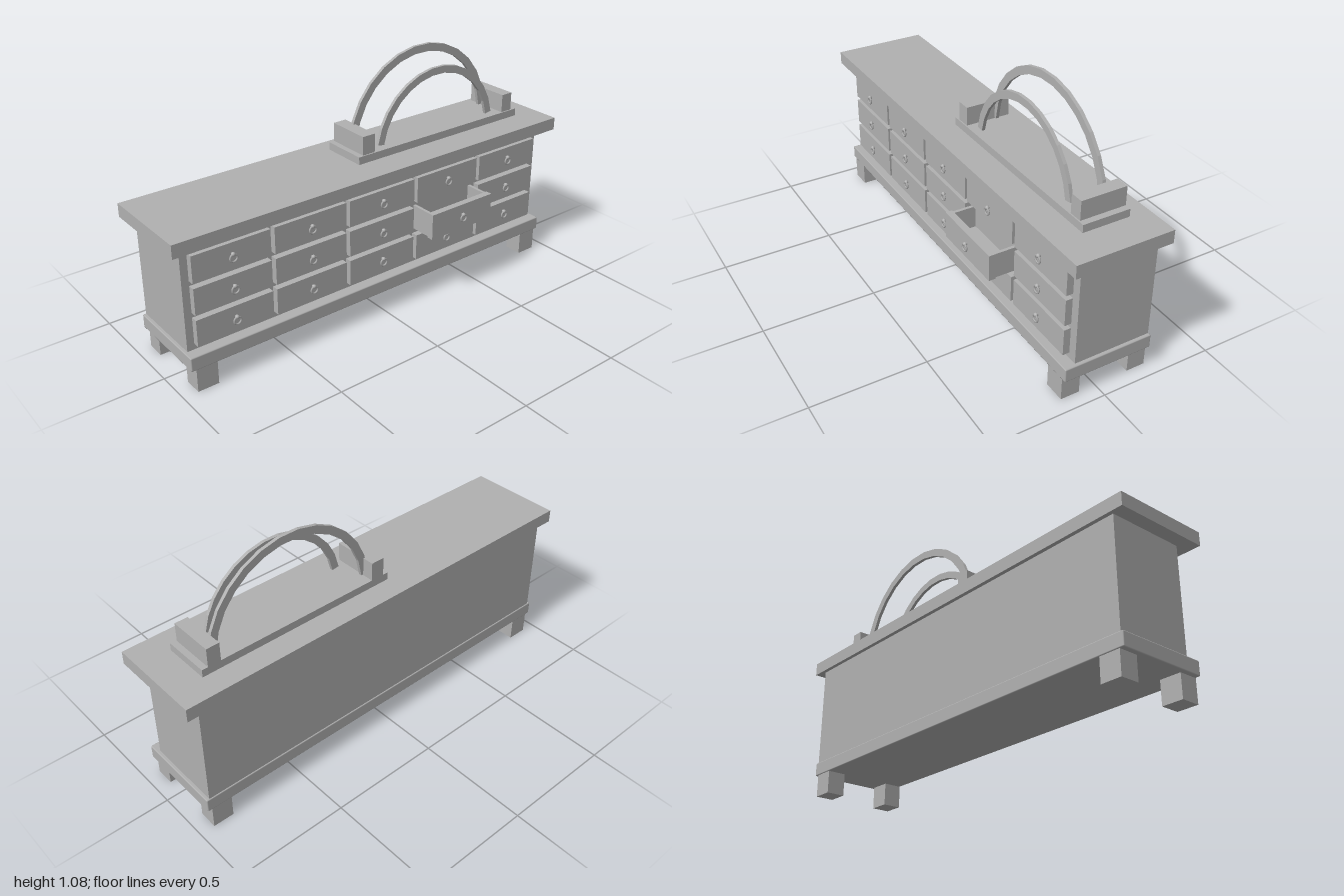
import * as THREE from 'three';
import { RoundedBoxGeometry } from 'three/addons/geometries/RoundedBoxGeometry.js';

const grey = new THREE.MeshStandardMaterial({ color: 0xb0b0b0 });
grey.name = 'plain grey';

function add(parent, name, geometry, x = 0, y = 0, z = 0) {
  const mesh = new THREE.Mesh(geometry, grey);
  mesh.name = name;
  mesh.position.set(x, y, z);
  parent.add(mesh);
  return mesh;
}

// box given by its limits on each axis
function box(parent, name, [x0, x1], [y0, y1], [z0, z1]) {
  return add(parent, name, new THREE.BoxGeometry(x1 - x0, y1 - y0, z1 - z0),
    (x0 + x1) / 2, (y0 + y1) / 2, (z0 + z1) / 2);
}

// small knob with a hanging ring pull
function makeHandle() {
  const handle = new THREE.Group();
  handle.name = 'handle';
  add(handle, 'handleStem', new THREE.CylinderGeometry(0.006, 0.006, 0.012, 8).rotateX(Math.PI / 2), 0, 0.012, 0.005);
  add(handle, 'handleKnob', new THREE.SphereGeometry(0.009, 10, 8), 0, 0.012, 0.008);
  add(handle, 'handleRing', new THREE.TorusGeometry(0.016, 0.004, 6, 16), 0, -0.003, 0.01);
  return handle;
}

const WIDTH = 0.348, HEIGHT = 0.118, FRONT = 0.03;

// drawer whose local z = 0 is the back of its front panel
function makeDrawer(pulledOut) {
  const drawer = new THREE.Group();
  drawer.name = pulledOut ? 'openDrawer' : 'drawer';
  const w = WIDTH / 2, h = HEIGHT / 2;
  box(drawer, 'drawerFront', [-w, w], [-h, h], [0, FRONT]);
  if (pulledOut) {
    const b = w - 0.004, t = h - 0.003, back = -pulledOut - 0.02;
    box(drawer, 'drawerFloor', [-b, b], [-t, -t + 0.012], [back, 0]);
    for (const s of [-1, 1]) {
      const xs = s < 0 ? [-b, -b + 0.014] : [b - 0.014, b];
      box(drawer, 'drawerSide', xs, [-t, t], [back, 0]);
    }
  }
  const handle = makeHandle();
  handle.position.z = FRONT;
  drawer.add(handle);
  return drawer;
}

// faceted arch band standing on its two ends
function makeArch(parent, name, x, y, z, outer, band, depth, startAngle) {
  const steps = 13, shape = new THREE.Shape(), points = [];
  for (let i = 0; i <= steps; i++) {
    const a = startAngle + (Math.PI - 2 * startAngle) * i / steps;
    points.push(new THREE.Vector2(Math.cos(a), Math.sin(a)));
  }
  const inner = points.map(p => p.clone().multiplyScalar(outer - band)).reverse();
  shape.setFromPoints([...points.map(p => p.clone().multiplyScalar(outer)), ...inner]);
  const geometry = new THREE.ExtrudeGeometry(shape, { depth, bevelEnabled: false });
  add(parent, name, geometry, x, y, z);
}

export function createModel() {
  const model = new THREE.Group();
  model.name = 'drawerCabinet';

  // cabinet
  box(model, 'top', [-1, 1], [0.617, 0.675], [-0.254, 0.174]);
  box(model, 'body', [-0.942, 0.942], [0.155, 0.617], [-0.236, 0.108]);
  add(model, 'base', new RoundedBoxGeometry(1.912, 0.061, 0.399, 1, 0.005), 0, 0.131, -0.041);
  for (const s of [-1, 1]) {
    const xs = s < 0 ? [-0.935, -0.842] : [0.842, 0.935];
    box(model, 'frontFoot', xs, [0, 0.103], [0.074, 0.157]);
    box(model, 'backFoot', xs, [0, 0.103], [-0.237, -0.154]);
  }

  // drawers, one of them pulled out
  for (let row = 0; row < 3; row++) {
    for (let col = 0; col < 5; col++) {
      const pull = row === 1 && col === 3 ? 0.102 : 0;
      const drawer = makeDrawer(pull);
      drawer.position.set(-0.003 + (col - 2) * 0.3665, 0.246 + row * 0.139, 0.108 + pull);
      model.add(drawer);
    }
  }

  // arched stand on top
  const stand = new THREE.Group();
  stand.name = 'archStand';
  model.add(stand);
  box(stand, 'standPlate', [-0.061, 0.861], [0.683, 0.717], [-0.157, 0.051]);
  box(stand, 'standBlock', [-0.036, 0.026], [0.717, 0.8], [-0.157, 0.045]);
  box(stand, 'standBlock', [0.776, 0.834], [0.717, 0.8], [-0.157, 0.045]);
  makeArch(stand, 'backArch', 0.397, 0.683, -0.104, 0.398, 0.035, 0.015, 0.1);
  makeArch(stand, 'frontArch', 0.4, 0.67, 0.002, 0.337, 0.033, 0.015, 0.165);
  return model;
}
